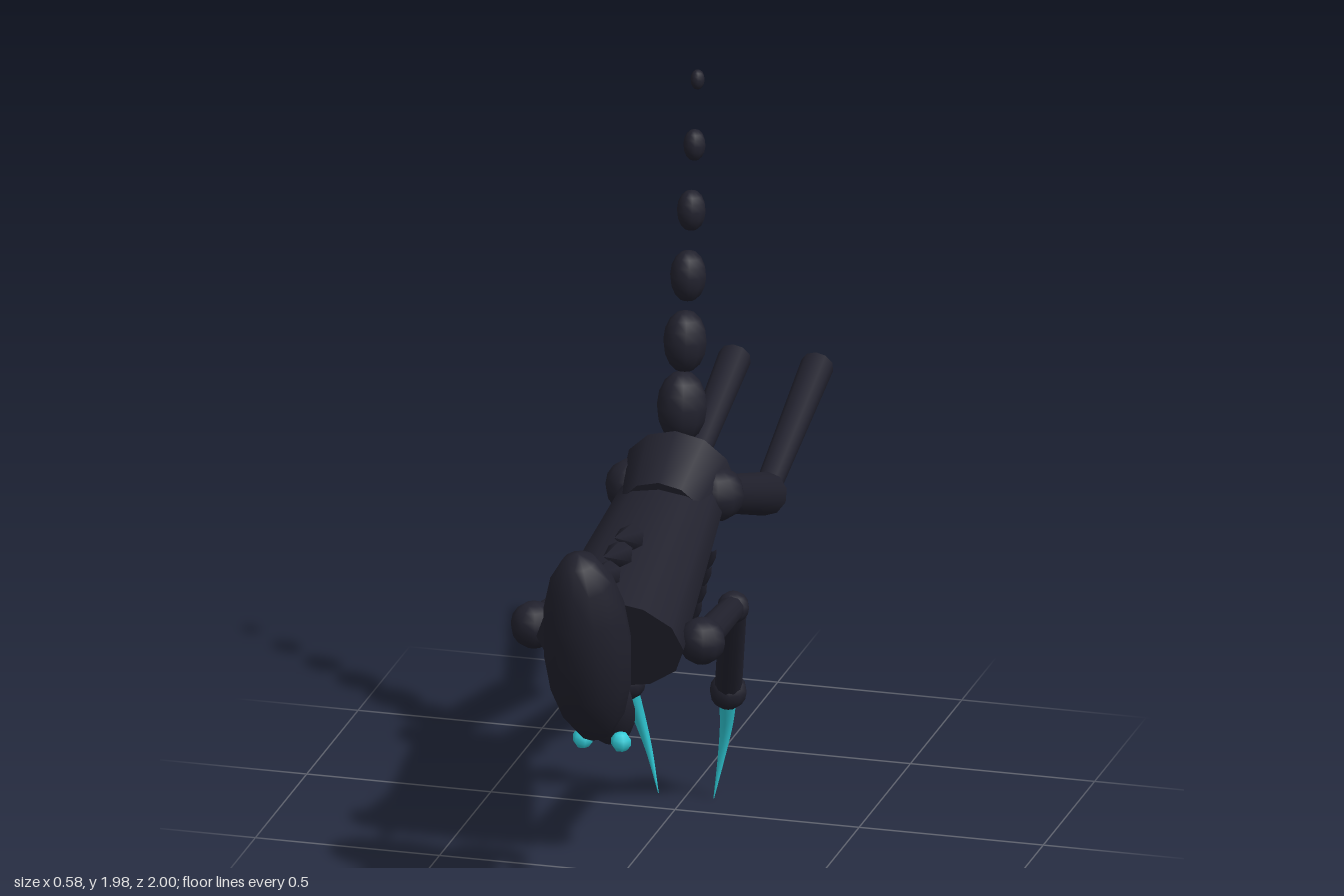
import * as THREE from 'three';

const shell = new THREE.MeshStandardMaterial({ color: 0x21212d });
shell.name = 'dark shell';
const glow = new THREE.MeshStandardMaterial({ color: 0x30ccd8 });
glow.name = 'cyan glow';

const V = (x, y, z) => new THREE.Vector3(x, y, z);
const UP = V(0, 1, 0);

function add(parent, name, geometry, material = shell) {
  const mesh = new THREE.Mesh(geometry, material);
  mesh.name = name;
  parent.add(mesh);
  return mesh;
}

// Ellipsoid with half-sizes r, tilted about x
function blob(parent, name, pos, r, tilt = 0, segs = 12, rings = 8) {
  const mesh = add(parent, name, new THREE.SphereGeometry(1, segs, rings));
  mesh.position.copy(pos);
  mesh.scale.copy(r);
  mesh.rotation.x = tilt;
  return mesh;
}

// Tapered cylinder from a to b
function limb(parent, name, a, b, ra, rb, sides = 10) {
  const dir = b.clone().sub(a);
  const mesh = add(parent, name, new THREE.CylinderGeometry(rb, ra, dir.length(), sides));
  mesh.position.copy(a).lerp(b, 0.5);
  mesh.quaternion.setFromUnitVectors(UP, dir.normalize());
  return mesh;
}

function joint(parent, name, pos, r) {
  return blob(parent, name, pos, V(r, r, r), 0, 10, 8);
}

// Curved claw: a tube whose rings shrink towards the tip
function clawGeometry(points, radius) {
  const steps = 10, sides = 8;
  const curve = new THREE.CatmullRomCurve3(points);
  const geo = new THREE.TubeGeometry(curve, steps, radius, sides);
  const pos = geo.attributes.position;
  const p = V(0, 0, 0);
  for (let i = 0; i < pos.count; i++) {
    const t = Math.floor(i / (sides + 1)) / steps;
    const c = curve.getPointAt(t);
    p.fromBufferAttribute(pos, i).sub(c).multiplyScalar(1 - 0.96 * t).add(c);
    pos.setXYZ(i, p.x, p.y, p.z);
  }
  geo.computeVertexNormals();
  return geo;
}

export function createModel() {
  const model = new THREE.Group();
  model.name = 'creature';
  const lean = 0.3;

  // Head, jaw and eyes
  blob(model, 'head', V(0, 0.76, 0.853), V(0.118, 0.3, 0.12), lean);
  blob(model, 'jaw', V(0, 0.52, 0.66), V(0.076, 0.12, 0.055), 0.35, 10, 8);
  for (const s of [1, -1]) {
    const eye = add(model, 'eye', new THREE.SphereGeometry(0.028, 6, 5), glow);
    eye.position.set(s * 0.052, 0.447, 0.712);
  }

  // Torso: flattened frustum leaning forward, front end at the group's origin
  const torso = new THREE.Group();
  torso.name = 'torso';
  torso.position.set(0, 0.688, 0.633);
  torso.rotation.x = lean;
  model.add(torso);
  const trunk = add(torso, 'trunk', new THREE.CylinderGeometry(0.2, 0.145, 0.6, 12).rotateX(Math.PI / 2));
  trunk.scale.y = 0.7;
  trunk.position.z = -0.3;

  // Ribs wrapped around the underside
  for (let i = 0; i < 5; i++) {
    const d = 0.14 + i * 0.075;
    const r = 0.2 - 0.055 * d / 0.6;
    const rib = add(torso, 'rib', new THREE.TorusGeometry(r, 0.013, 6, 14, Math.PI).rotateZ(Math.PI));
    rib.scale.y = 0.73;
    rib.position.z = -d;
  }

  // Pelvis, wider at the rear
  const pelvis = add(model, 'pelvis', new THREE.CylinderGeometry(0.12, 0.153, 0.184, 12).rotateX(Math.PI / 2));
  pelvis.position.set(0, 0.88, 0.038);
  pelvis.rotation.x = lean;

  // Neck spikes pointing forward
  const spikes = [
    [V(0, 0.888, 0.65), V(0, 0.942, 0.8)],
    [V(0, 0.903, 0.535), V(0, 0.953, 0.7)],
    [V(0, 0.91, 0.425), V(0, 0.968, 0.593)],
  ];
  for (const [base, tip] of spikes) limb(model, 'neckSpike', base, tip, 0.037, 0, 6);

  // Tail of separate shrinking beads
  const tailWidths = [0.068, 0.059, 0.049, 0.039, 0.03, 0.019];
  tailWidths.forEach((w, i) => {
    blob(model, 'tailBead', V(0, 1.1 + i * 0.1714, -0.067 - i * 0.0306), V(w, w * 1.42, w), -0.1, 10, 8);
  });

  for (const s of [1, -1]) {
    const side = s > 0 ? 'left' : 'right';

    // Arm
    const arm = new THREE.Group();
    arm.name = side + 'Arm';
    model.add(arm);
    const shoulder = V(s * 0.228, 0.69, 0.555);
    const elbow = V(s * 0.207, 0.647, 0.175);
    const wrist = V(s * 0.137, 0.335, -0.027);
    joint(arm, 'shoulder', shoulder, 0.063);
    limb(arm, 'upperArm', shoulder, elbow, 0.043, 0.034);
    joint(arm, 'elbow', elbow, 0.043);
    limb(arm, 'forearm', elbow, wrist, 0.036, 0.036);
    joint(arm, 'wrist', wrist, 0.05);
    const clawPath = [
      V(s * 0.134, 0.32, -0.03), V(s * 0.12, 0.23, -0.072),
      V(s * 0.098, 0.12, -0.1), V(s * 0.075, 0.0, -0.108),
    ];
    add(arm, 'claw', clawGeometry(clawPath, 0.025), glow);

    // Hind leg
    const leg = new THREE.Group();
    leg.name = side + 'HindLeg';
    model.add(leg);
    const hip = V(s * 0.115, 0.893, 0.003);
    const knee = V(s * 0.112, 0.72, -0.483);
    joint(leg, 'hip', hip, 0.073);
    limb(leg, 'thigh', hip, knee, 0.05, 0.058);
    limb(leg, 'shin', V(s * 0.112, 0.725, -0.488), V(s * 0.112, 0.9, -0.984), 0.034, 0.044);
  }

  return model;
}
